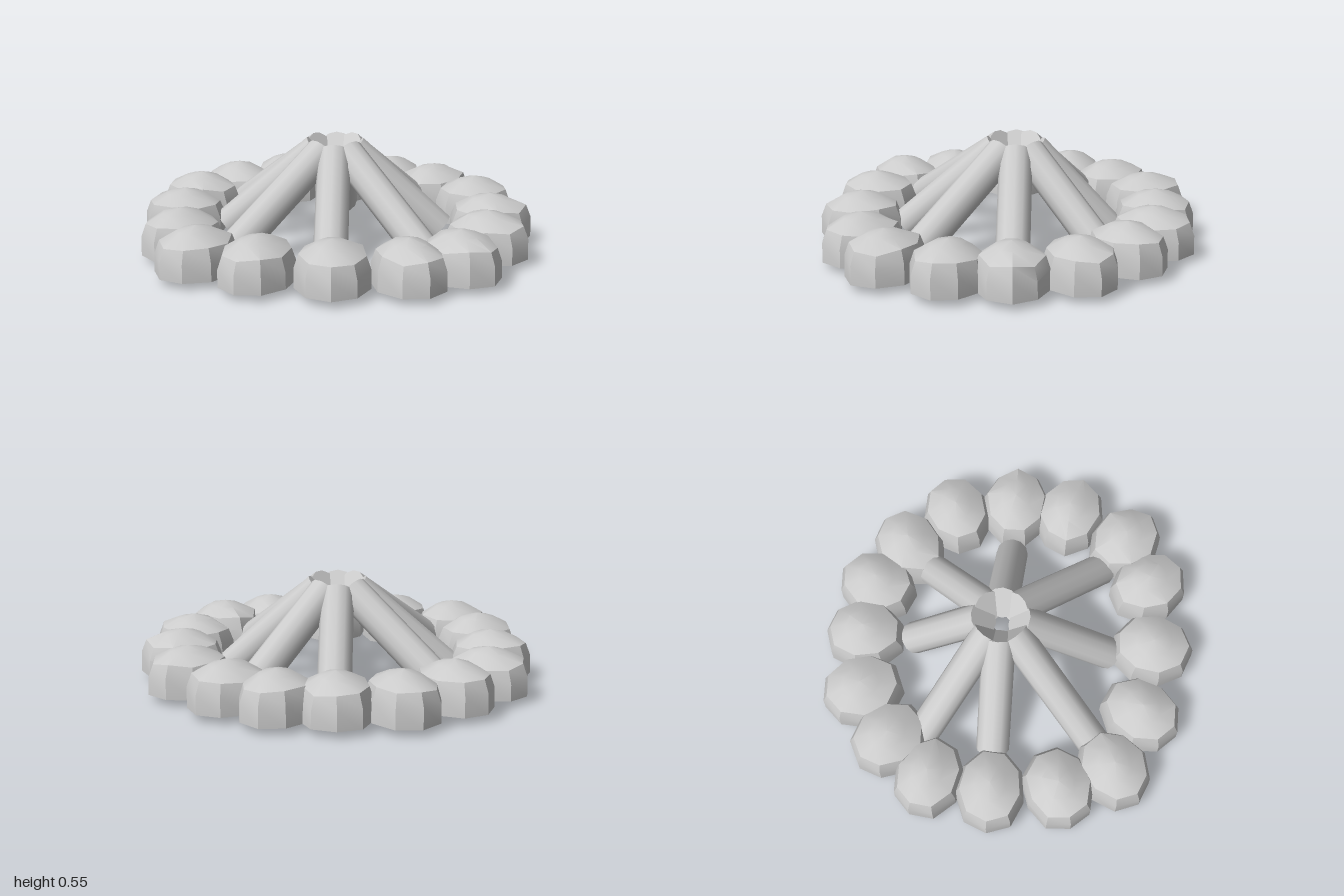
import * as THREE from 'three';
import { toCreasedNormals } from 'three/addons/utils/BufferGeometryUtils.js';

const SIDES = 9;
const material = new THREE.MeshStandardMaterial({ color: 0xcccccc });

// small seeded generator, returns -1..1
let seed = 7;
const vary = () => {
  seed = (seed * 16807) % 2147483647;
  return (seed / 2147483647) * 2 - 1;
};

// stone centres on the ground, clockwise from the back
const STONES = [
  [-0.015, -0.755], [0.265, -0.72], [0.505, -0.575], [0.72, -0.34],
  [0.79, -0.02], [0.765, 0.275], [0.625, 0.585], [0.38, 0.72],
  [0.025, 0.76], [-0.33, 0.72], [-0.64, 0.595], [-0.76, 0.32],
  [-0.795, -0.02], [-0.755, -0.34], [-0.575, -0.56], [-0.325, -0.73],
];

// ground ends of the log axes
const LOGS = [
  [0, 0.54], [0.48, 0.47], [0.53, -0.02], [0.42, -0.47],
  [0, -0.5], [-0.54, -0.41], [-0.57, -0.03], [-0.51, 0.5],
];

// Flat-bottomed stone: faceted wall, chamfered shoulder, gently domed top
function stoneGeometry() {
  const profile = [
    [0, 0.03], [1, 0.03], [0.99, 0.125], [0.87, 0.19], [0.45, 0.237], [0, 0.26],
  ].map(([r, y]) => new THREE.Vector2(r, y));
  const geo = new THREE.LatheGeometry(profile, SIDES);
  const pos = geo.attributes.position;
  const push = Array.from({ length: SIDES }, () => 1 + 0.035 * vary());
  const shoulder = Array.from({ length: SIDES }, () => 0.012 * vary());
  for (let i = 0; i < pos.count; i++) {
    const side = Math.floor(i / profile.length) % SIDES;
    const ring = i % profile.length;
    const y = pos.getY(i) + (ring === 2 || ring === 3 ? shoulder[side] : 0);
    pos.setXYZ(i, pos.getX(i) * push[side] * 0.18, y, pos.getZ(i) * push[side] * 0.21);
  }
  return toCreasedNormals(geo, 0.5);
}

// Straight round log between two points
function makeLog(from, to) {
  const axis = new THREE.Vector3().subVectors(to, from);
  const log = new THREE.Mesh(new THREE.CylinderGeometry(0.085, 0.085, axis.length(), 12), material);
  log.position.addVectors(from, to).multiplyScalar(0.5);
  log.quaternion.setFromUnitVectors(new THREE.Vector3(0, 1, 0), axis.normalize());
  return log;
}

export function createModel() {
  seed = 7;
  const model = new THREE.Group();
  model.name = 'campfire';

  // ring of stones, each with its long side pointing outward
  const ring = new THREE.Group();
  ring.name = 'stoneRing';
  STONES.forEach(([x, z], i) => {
    const stone = new THREE.Mesh(stoneGeometry(), material);
    stone.name = `stone${i + 1}`;
    stone.position.set(x, 0, z);
    stone.rotation.y = Math.atan2(x, z);
    ring.add(stone);
  });

  // logs leaning together in a cone
  const logs = new THREE.Group();
  logs.name = 'logs';
  LOGS.forEach(([x, z], i) => {
    const reach = Math.hypot(x, z);
    const foot = new THREE.Vector3(x, 0.065, z);
    const tip = new THREE.Vector3(-0.01 + (x / reach) * 0.09, 0.475, -0.03 + (z / reach) * 0.09);
    const log = makeLog(foot, tip);
    log.name = `log${i + 1}`;
    logs.add(log);
  });

  model.add(ring, logs);
  return model;
}
